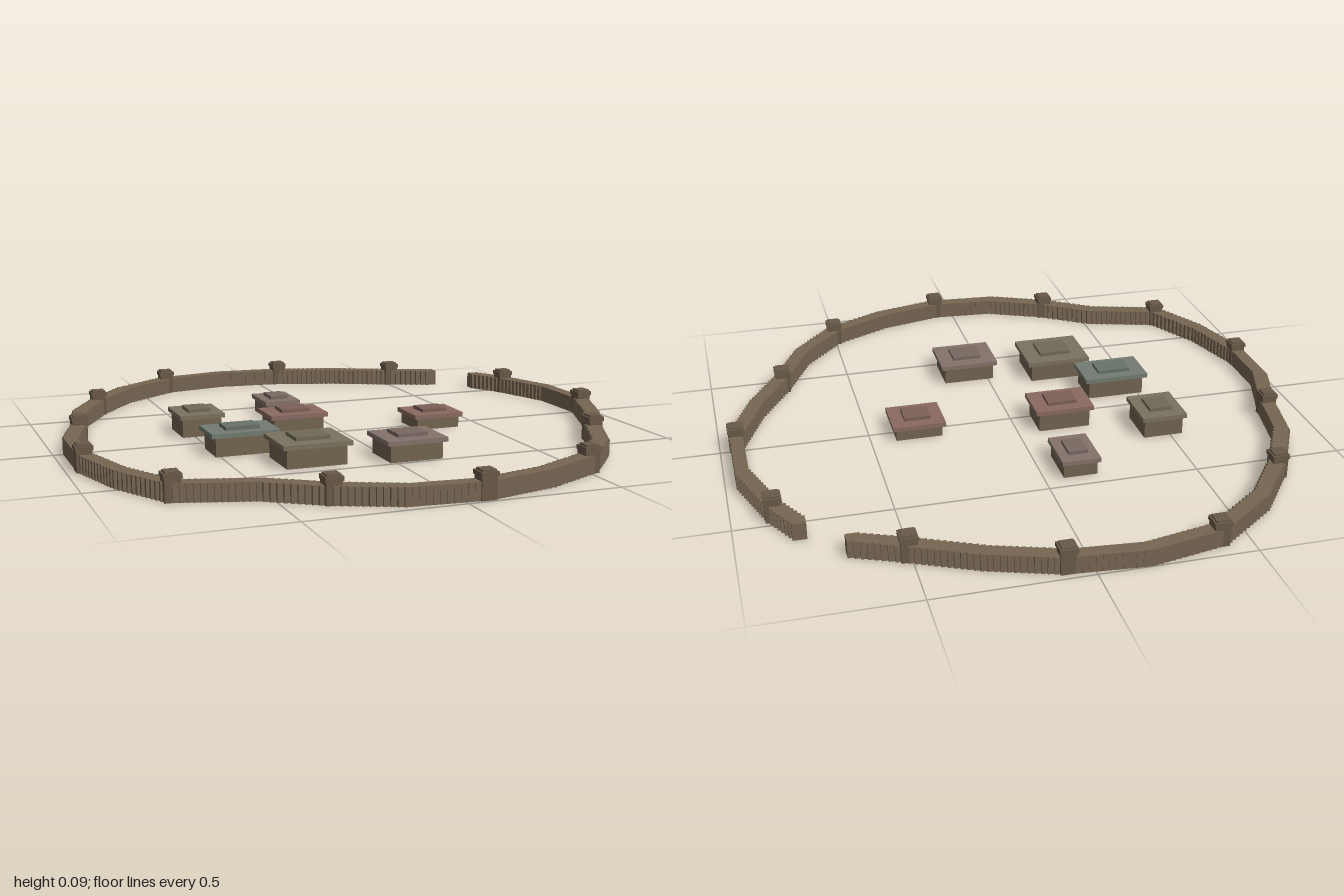
import * as THREE from 'three';
import { mergeGeometries } from 'three/addons/utils/BufferGeometryUtils.js';

const mat = (color) => new THREE.MeshStandardMaterial({ color, flatShading: true });
const WALL = mat(0x776652), TOWER = mat(0x695a48), HOUSE = mat(0x736450);
const ROOFS = {
  red: [mat(0x8a6a61), mat(0x7d6059)],
  olive: [mat(0x7b735f), mat(0x706a56)],
  teal: [mat(0x727b71), mat(0x68716a)],
  mauve: [mat(0x85736b), mat(0x796962)],
};

// Box standing between heights y0 and y1
function block(w, d, y0, y1, x, z) {
  return new THREE.BoxGeometry(w, y1 - y0, d).translate(x, (y0 + y1) / 2, z);
}

function part(name, geometry, material) {
  const mesh = new THREE.Mesh(geometry, material);
  mesh.name = name;
  return mesh;
}

// Corners of the palisade from one side of the gate round to the other;
// every second corner carries a tower
const PATH = [
  [0.66, -0.715], [0.51, -0.78], [0.30, -0.88], [0.08, -0.955], [-0.16, -0.977],
  [-0.40, -0.93], [-0.60, -0.78], [-0.735, -0.60], [-0.84, -0.40], [-0.88, -0.19],
  [-0.945, 0.015], [-0.945, 0.24], [-0.88, 0.47], [-0.775, 0.67], [-0.53, 0.745],
  [-0.36, 0.86], [-0.16, 0.95], [0.07, 0.968], [0.30, 0.91], [0.505, 0.805],
  [0.65, 0.635], [0.745, 0.43], [0.855, 0.24], [0.943, 0.02], [0.943, -0.24],
  [0.87, -0.46], [0.805, -0.58],
];

// Wall of closely set square posts
function palisade() {
  const posts = [];
  PATH.forEach(([x, z], i) => {
    const [nx, nz] = PATH[i + 1] ?? [x, z];
    const count = Math.max(1, Math.ceil(Math.hypot(nx - x, nz - z) / 0.021));
    for (let k = 0; k < count; k++) {
      const t = k / count;
      posts.push(block(0.044, 0.044, 0, 0.057, x + (nx - x) * t, z + (nz - z) * t));
    }
  });
  return part('palisadeWall', mergeGeometries(posts), WALL);
}

// Square tower with an overhanging stepped cap
function tower([x, z]) {
  const geometry = mergeGeometries([
    block(0.05, 0.05, 0, 0.072, x, z),
    block(0.056, 0.056, 0.07, 0.084, x, z),
    block(0.044, 0.044, 0.084, 0.09, x, z),
  ]);
  return part('watchtower', geometry, TOWER);
}

// House: walls, overhanging roof slab and smaller ridge slab
function house([x, z, w, d, top, color]) {
  const group = new THREE.Group();
  group.name = 'house';
  const eave = top - 0.027, ridge = top - 0.012;
  group.add(
    part('houseWalls', block(w / 1.15, d / 1.15, 0, eave, x, z), HOUSE),
    part('roofSlab', block(w, d, eave, ridge, x, z), ROOFS[color][0]),
    part('roofRidge', block(w * 0.5, d * 0.5, ridge, top, x, z), ROOFS[color][1]),
  );
  return group;
}

// x, z, roof width, roof depth, total height, roof colour
const HOUSES = [
  [-0.12, -0.37, 0.13, 0.175, 0.075, 'mauve'],
  [-0.475, -0.175, 0.157, 0.178, 0.09, 'olive'],
  [-0.163, -0.05, 0.205, 0.155, 0.09, 'red'],
  [-0.415, 0.148, 0.23, 0.155, 0.09, 'teal'],
  [-0.253, 0.36, 0.23, 0.205, 0.09, 'olive'],
  [0.07, 0.41, 0.207, 0.18, 0.084, 'mauve'],
  [0.335, 0.007, 0.182, 0.16, 0.066, 'red'],
];

export function createModel() {
  const village = new THREE.Group();
  village.name = 'walledVillage';
  village.add(palisade());
  PATH.filter((_, i) => i % 2 === 1).forEach((p) => village.add(tower(p)));
  HOUSES.forEach((h) => village.add(house(h)));
  return village;
}
